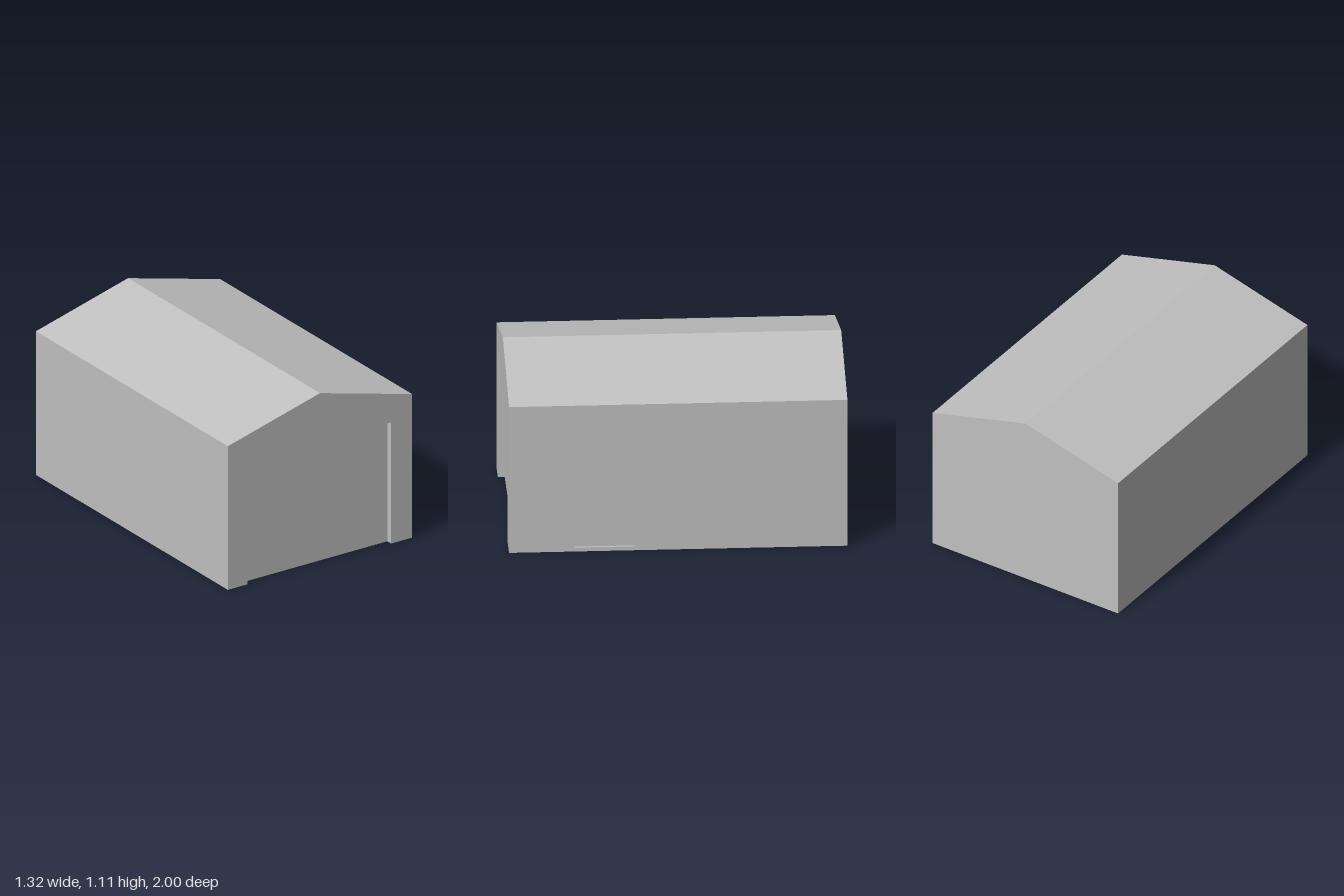
import * as THREE from 'three';

const W = 0.66, D = 1, EAVE = 0.93, RIDGE = 1.105;

export function createModel() {
  const garage = new THREE.Group();
  garage.name = 'garage';
  const grey = new THREE.MeshStandardMaterial({ color: 0xc0c0c0, side: THREE.DoubleSide });
  grey.name = 'plain grey';

  const add = (name, geometry, parent = garage) => {
    const mesh = new THREE.Mesh(geometry, grey);
    mesh.name = name;
    parent.add(mesh);
    return mesh;
  };
  const shapeOf = (points) => new THREE.Shape(points.map(([x, y]) => new THREE.Vector2(x, y)));

  // Flat four-cornered sheet, corners counter-clockwise from outside
  const sheet = (...corners) => {
    const geometry = new THREE.BufferGeometry();
    geometry.setAttribute('position', new THREE.Float32BufferAttribute(corners.flat(), 3));
    geometry.setIndex([0, 1, 2, 0, 2, 3]);
    geometry.computeVertexNormals();
    return geometry;
  };

  // Door set back behind an opening in the plane z = 0, with its reveals
  const recessedDoor = (name, x0, x1, y0, y1, depth, hasSill) => {
    const door = new THREE.Group();
    door.name = name;
    const b = -depth;
    add(name + 'Panel', sheet([x0, y0, b], [x1, y0, b], [x1, y1, b], [x0, y1, b]), door);
    add(name + 'JambA', sheet([x0, y0, 0], [x0, y0, b], [x0, y1, b], [x0, y1, 0]), door);
    add(name + 'JambB', sheet([x1, y0, b], [x1, y0, 0], [x1, y1, 0], [x1, y1, b]), door);
    add(name + 'Lintel', sheet([x0, y1, b], [x1, y1, b], [x1, y1, 0], [x0, y1, 0]), door);
    if (hasSill) add(name + 'Sill', sheet([x0, y0, 0], [x1, y0, 0], [x1, y0, b], [x0, y0, b]), door);
    garage.add(door);
    return door;
  };

  // Front gable with the vehicle door opening
  const gableTop = [[W, EAVE], [0, RIDGE], [-W, EAVE]];
  const dx0 = -0.52, dx1 = 0.51, dTop = 0.785;
  add('frontWall', new THREE.ShapeGeometry(shapeOf([
    [-W, 0], [dx0, 0], [dx0, dTop], [dx1, dTop], [dx1, 0], [W, 0], ...gableTop,
  ]))).position.z = D;
  recessedDoor('vehicleDoor', dx0, dx1, 0, dTop, 0.04, false).position.z = D;

  // Plain back gable
  const back = add('backWall', new THREE.ShapeGeometry(shapeOf([[-W, 0], [W, 0], ...gableTop])));
  back.position.z = -D;
  back.rotation.y = Math.PI;

  // Side wall with the small door; its local x runs towards the back
  const s0 = -0.61, s1 = -0.26, sBottom = 0.025, sTop = 0.875;
  const sideShape = shapeOf([[-D, 0], [D, 0], [D, EAVE], [-D, EAVE]]);
  sideShape.holes.push(shapeOf([[s0, sBottom], [s0, sTop], [s1, sTop], [s1, sBottom]]));
  const sideParts = [
    add('leftWall', new THREE.ShapeGeometry(sideShape)),
    recessedDoor('sideDoor', s0, s1, sBottom, sTop, 0.015, true),
  ];
  for (const part of sideParts) {
    part.position.x = W;
    part.rotation.y = Math.PI / 2;
  }

  // Plain side wall
  add('rightWall', sheet([-W, 0, -D], [-W, 0, D], [-W, EAVE, D], [-W, EAVE, -D]));

  // Two roof slopes, open underneath
  add('leftRoof', sheet([W, EAVE, D], [W, EAVE, -D], [0, RIDGE, -D], [0, RIDGE, D]));
  add('rightRoof', sheet([-W, EAVE, -D], [-W, EAVE, D], [0, RIDGE, D], [0, RIDGE, -D]));

  return garage;
}
